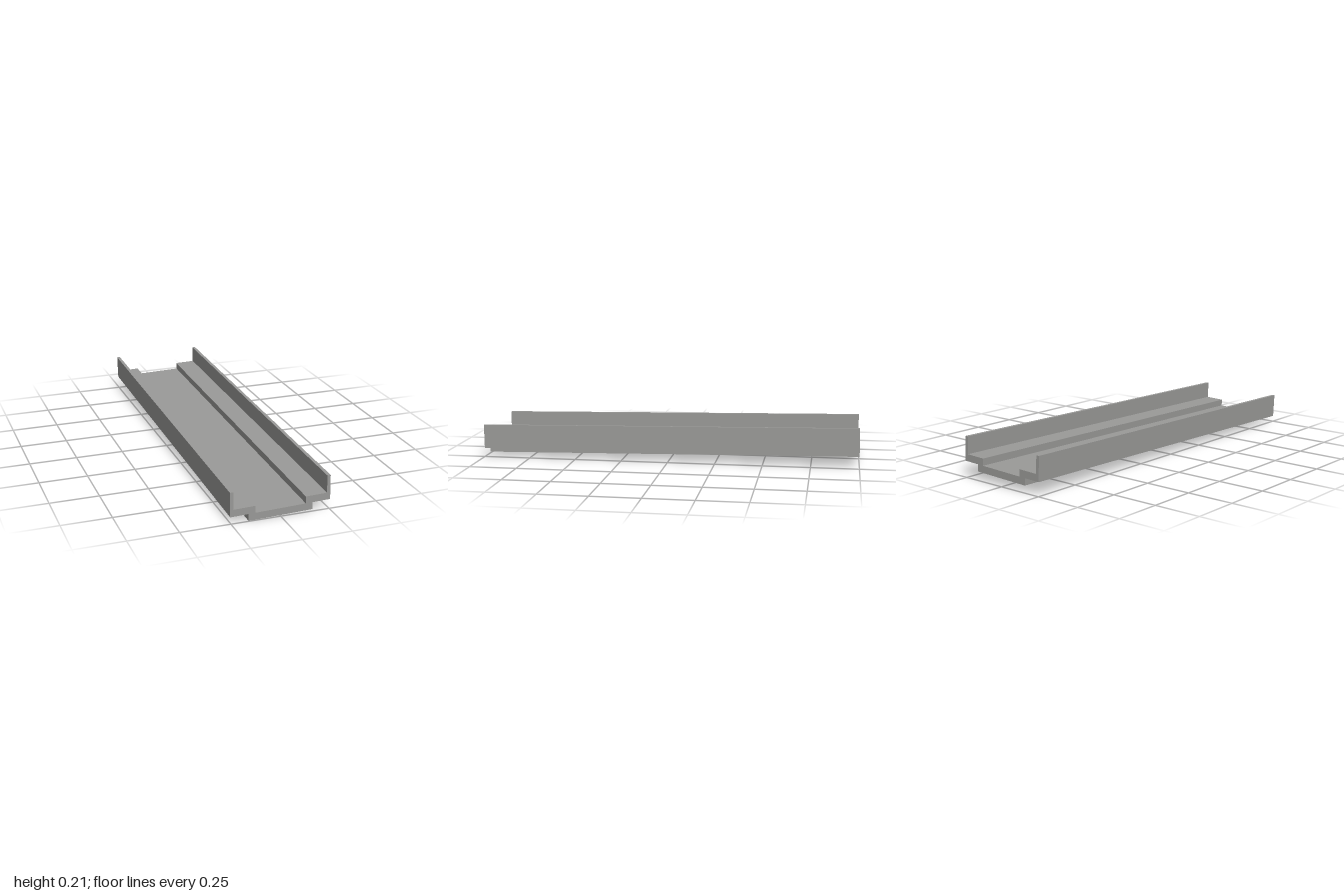
import * as THREE from 'three';

export function createModel() {
  const model = new THREE.Group();
  model.name = 'channelTrack';
  const grey = new THREE.MeshStandardMaterial({ color: 0x9a9a98 });
  grey.name = 'grey';

  // Right half of the cross-section, from the underside round to the floor
  const half = [
    [0.163, 0], [0.163, 0.0365], // raised underside step
    [0.254, 0.0365], [0.254, 0.1635], // outer wall
    [0.237, 0.1635], [0.237, 0.073], // inner wall
    [0.1275, 0.073], [0.1275, 0.0365], // ledge down to the floor
  ];
  const mirrored = half.map(([x, y]) => [-x, y]).reverse();
  const profile = new THREE.Shape([...half, ...mirrored].map(([x, y]) => new THREE.Vector2(x, y)));

  // One continuous channel: floor, side ledges and walls
  const length = 1.997;
  const geometry = new THREE.ExtrudeGeometry(profile, { depth: length, bevelEnabled: false });
  geometry.translate(0, 0, -length / 2);
  const channel = new THREE.Mesh(geometry, grey);
  channel.name = 'channel';

  // Slight roll, and a gentle rise towards the back
  channel.rotation.set(0.0187, 0, 0.0275);
  channel.position.set(0.002, 0.0255, -0.0015);
  model.add(channel);
  return model;
}
